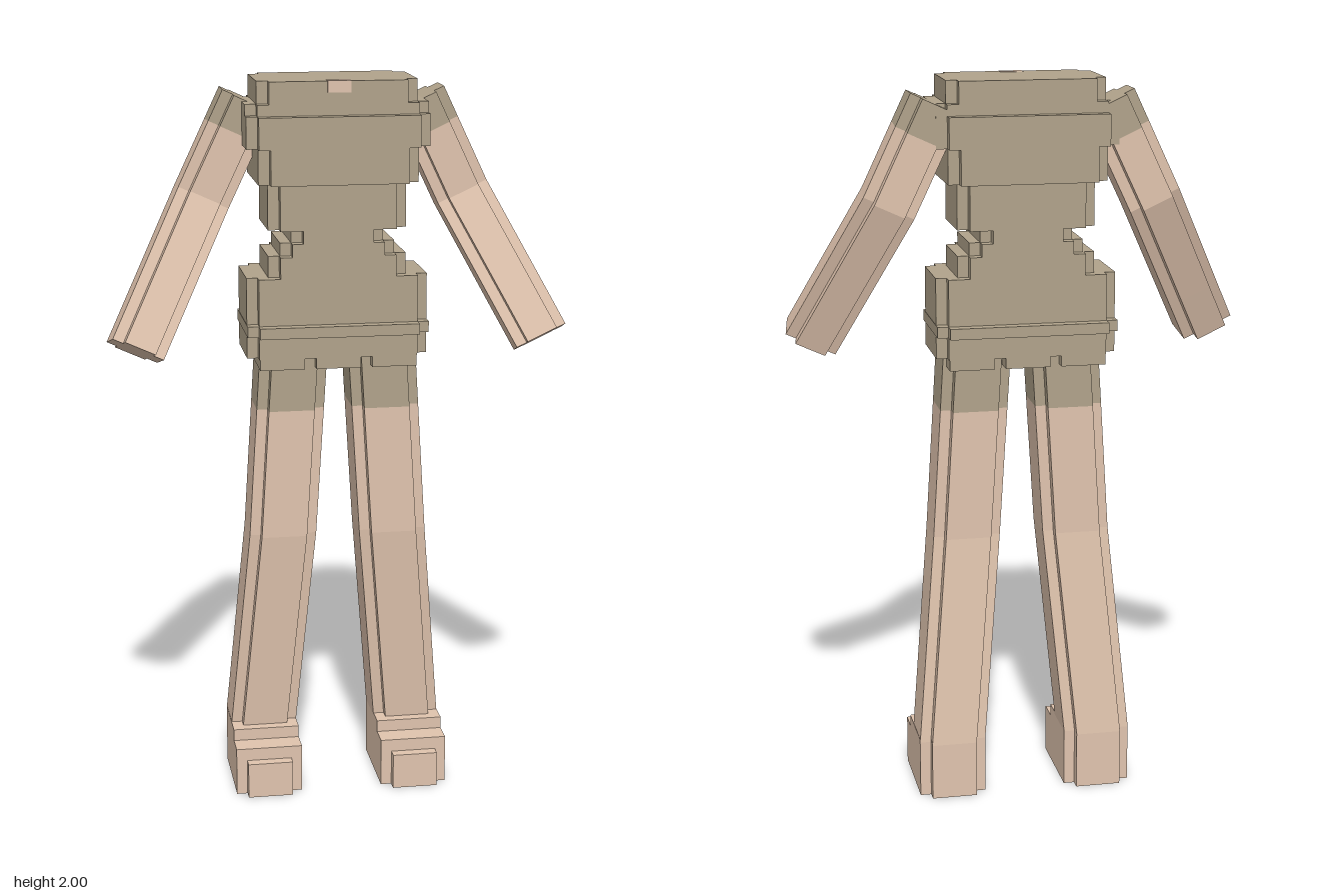
import * as THREE from 'three';

const STEP = 0.03; // size of one stair step at every notched corner

export function createModel() {
  const model = new THREE.Group();
  const cloth = new THREE.MeshStandardMaterial({ color: 0xb1a38b });
  cloth.name = 'olive cloth';
  const skin = new THREE.MeshStandardMaterial({ color: 0xe0c4ae });
  skin.name = 'skin';

  // Plus-shaped outline: a rectangle with one step cut from each corner
  function notched(x0, x1, y0, y1) {
    const s = STEP;
    return new THREE.Shape([
      [x0 + s, y0], [x1 - s, y0], [x1 - s, y0 + s], [x1, y0 + s],
      [x1, y1 - s], [x1 - s, y1 - s], [x1 - s, y1], [x0 + s, y1],
      [x0 + s, y1 - s], [x0, y1 - s], [x0, y0 + s], [x0 + s, y0 + s],
    ].map(([x, y]) => new THREE.Vector2(x, y)));
  }

  function add(parent, name, geometry, material) {
    const mesh = new THREE.Mesh(geometry, material);
    mesh.name = name;
    parent.add(mesh);
    return mesh;
  }

  function group(name) {
    const g = new THREE.Group();
    g.name = name;
    model.add(g);
    return g;
  }

  // Upright slab with notched corners
  function slab(parent, name, material, x0, x1, y0, y1, z0, z1) {
    const geo = new THREE.ExtrudeGeometry(notched(x0, x1, -z1, -z0), { depth: y1 - y0, bevelEnabled: false });
    geo.rotateX(-Math.PI / 2).translate(0, y0, 0);
    return add(parent, name, geo, material);
  }

  function box(parent, name, material, x0, x1, y0, y1, z0, z1) {
    const geo = new THREE.BoxGeometry(x1 - x0, y1 - y0, z1 - z0);
    geo.translate((x0 + x1) / 2, (y0 + y1) / 2, (z0 + z1) / 2);
    return add(parent, name, geo, material);
  }

  // Notched bar running between two rings { p: centre, u: width axis, v: depth axis }
  function bar(parent, name, material, width, a, b) {
    const h = width / 2;
    const geo = new THREE.ExtrudeGeometry(notched(-h, h, -h, h), { depth: 1, bevelEnabled: false });
    const pos = geo.attributes.position;
    const at = (r, x, y) => r.p.clone().addScaledVector(r.u, x).addScaledVector(r.v, y);
    for (let i = 0; i < pos.count; i++) {
      const x = pos.getX(i), y = pos.getY(i);
      const q = at(a, x, y).lerp(at(b, x, y), pos.getZ(i));
      pos.setXYZ(i, q.x, q.y, q.z);
    }
    geo.computeVertexNormals();
    return add(parent, name, geo, material);
  }

  const V = (x, y, z) => new THREE.Vector3(x, y, z);
  const between = (a, b, t) => ({
    p: a.p.clone().lerp(b.p, t), u: a.u.clone().lerp(b.u, t), v: a.v.clone().lerp(b.v, t),
  });

  // Torso: stacked layers [name, half width, bottom, top, back, front]
  const torso = group('torso');
  const cx = -0.011;
  [
    ['collar', 0.215, 1.94, 2.0, -0.135, 0.11],
    ['shoulderTop', 0.246, 1.91, 1.94, -0.135, 0.11],
    ['shoulders', 0.246, 1.825, 1.91, -0.165, 0.14],
    ['chest', 0.215, 1.73, 1.825, -0.165, 0.14],
    ['midriff', 0.187, 1.605, 1.73, -0.135, 0.11],
    ['waist', 0.125, 1.57, 1.605, -0.135, 0.11],
    ['lowerWaist', 0.155, 1.535, 1.57, -0.135, 0.11],
    ['upperHip', 0.187, 1.477, 1.535, -0.135, 0.11],
    ['hips', 0.246, 1.257, 1.477, -0.135, 0.11],
    ['belt', 0.247, 1.32, 1.35, -0.165, 0.14],
  ].forEach(([name, w, y0, y1, z0, z1]) => slab(torso, name, cloth, cx - w, cx + w, y0, y1, z0, z1));

  // Hem tabs under the hips
  for (const x of [-0.153, 0, 0.153]) {
    box(torso, 'hemTab', cloth, cx + x - 0.061, cx + x + 0.061, 1.228, 1.257, -0.135, 0.11);
  }

  // Small skin patch at the neckline
  box(torso, 'neckPatch', skin, -0.041, 0.022, 1.97, 2.001, 0.08, 0.112);

  for (const s of [1, -1]) {
    const side = s > 0 ? 'left' : 'right';
    const mx = -0.004;

    // Arm: sleeve, upper arm, forearm and hand
    const arm = group(side + 'Arm');
    const u = V(0.907, s * 0.42, 0);
    const foreDir = V(s * 0.195, -0.387, 0.15).normalize();
    const vEnd = foreDir.clone().cross(u).normalize();
    const vMid = V(0, 0, 1).add(vEnd).normalize();
    const shoulder = { p: V(mx + s * 0.233, 1.938, -0.06), u, v: V(0, 0, 1) };
    const elbow = { p: V(mx + s * 0.358, 1.675, -0.06), u, v: vMid };
    const tip = { p: V(mx + s * 0.555, 1.291, 0.09), u, v: vEnd };
    const cuff = between(shoulder, elbow, 0.32);
    const wrist = { ...between(elbow, tip, 0.68), v: vEnd };
    bar(arm, 'sleeve', cloth, 0.148, shoulder, cuff);
    bar(arm, 'upperArm', skin, 0.148, cuff, elbow);
    bar(arm, 'forearm', skin, 0.148, elbow, wrist);
    bar(arm, 'hand', skin, 0.148, wrist, tip);

    // Leg: trouser top, thigh and shin
    const leg = group(side + 'Leg');
    const ring = (x, y, z) => ({ p: V(mx + s * x, y, z), u: V(1, 0, 0), v: V(0, 0, 1) });
    const hip = ring(0.121, 1.28, -0.012);
    const knee = ring(0.154, 0.745, -0.014);
    const ankle = ring(0.207, 0.16, -0.068);
    const hem = between(hip, knee, 0.327);
    bar(leg, 'trouserTop', cloth, 0.186, hip, hem);
    bar(leg, 'thigh', skin, 0.186, hem, knee);
    bar(leg, 'shin', skin, 0.186, knee, ankle);

    // Foot: stepped down toward the toes
    const fx = mx + s * 0.207, w = 0.093;
    slab(leg, 'heel', skin, fx - w, fx + w, 0, 0.168, -0.16, 0.085 - STEP);
    box(leg, 'instep', skin, fx - w, fx + w, 0.135, 0.168, -0.1, 0.055);
    box(leg, 'foot', skin, fx - w, fx + w, 0, 0.135, -0.1, 0.12);
    box(leg, 'toe', skin, fx - w + STEP, fx + w - STEP, 0, 0.1, 0.1, 0.15);
  }

  return model;
}
